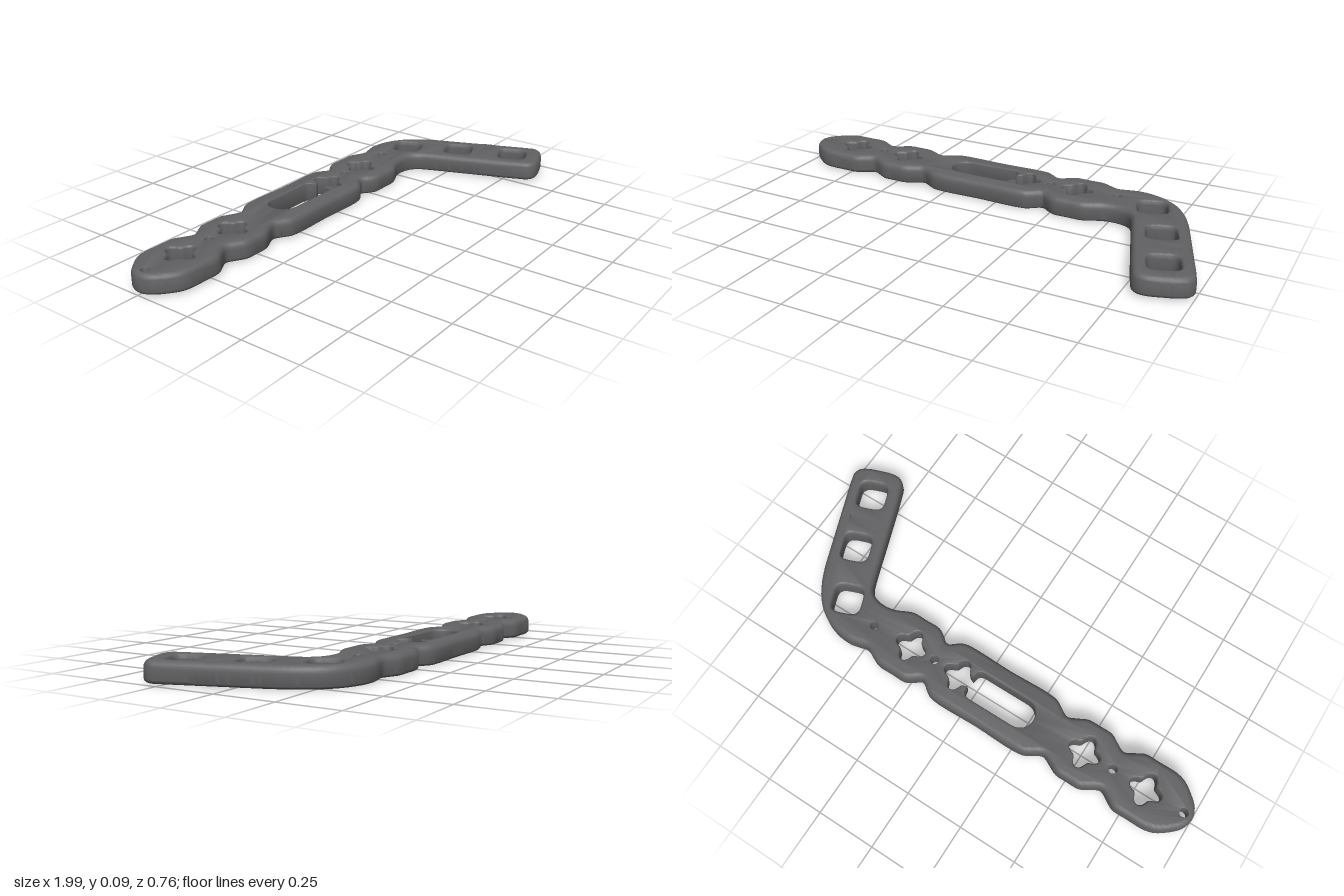
import * as THREE from 'three';
import { toCreasedNormals } from 'three/addons/utils/BufferGeometryUtils.js';

const V = (x, z) => new THREE.Vector2(x, z);
const BAR_Z = -0.248; // centre line of the straight bar
const BOTTOM = 0.002, TOP = 0.084;

// Closed loop from polar radius r(angle)
function polar(cx, cz, r, n, from = 0, to = Math.PI * 2, closed = true) {
  const pts = [];
  for (let i = 0; i < (closed ? n : n + 1); i++) {
    const a = from + (to - from) * i / n;
    pts.push(V(cx + r(a) * Math.cos(a), cz + r(a) * Math.sin(a)));
  }
  return pts;
}

const cloverRadius = a => 0.056 + 0.012 * Math.cos(4 * a);
const roundHole = (x, z) => polar(x, z, () => 0.018, 24);
const cloverHole = x => polar(x, BAR_Z, cloverRadius, 64);
const squareHole = (x, z) => polar(x, z, a => {
  const t = a + 0.36; // aligned with the angled arm
  return 0.061 / Math.pow(Math.cos(t) ** 4 + Math.sin(t) ** 4, 0.25);
}, 48);

// Long slot opening into a clover hole at its right end
function slotHole() {
  const open = 0.36;
  return [
    ...polar(-0.208, BAR_Z, () => 0.062, 20, Math.PI / 2, Math.PI * 1.5, false),
    V(0.0, BAR_Z - 0.062), V(0.016, BAR_Z - 0.058), V(0.026, BAR_Z - 0.048), V(0.029, BAR_Z - 0.035),
    ...polar(0.085, BAR_Z, cloverRadius, 56, -Math.PI + open, Math.PI - open, false),
    V(0.029, BAR_Z + 0.035), V(0.026, BAR_Z + 0.048), V(0.016, BAR_Z + 0.058), V(0.0, BAR_Z + 0.062),
  ];
}

// Scalloped edge of the bar as [x, half width]
const edge = [
  [-0.985, 0.045], [-0.94, 0.09], [-0.9, 0.117], [-0.86, 0.128], [-0.785, 0.129], [-0.715, 0.127],
  [-0.68, 0.108], [-0.64, 0.088], [-0.6, 0.108], [-0.565, 0.127], [-0.51, 0.129], [-0.455, 0.127],
  [-0.415, 0.108], [-0.375, 0.092], [-0.34, 0.11], [-0.3, 0.131], [-0.08, 0.132], [0.14, 0.131],
  [0.17, 0.115], [0.205, 0.092], [0.24, 0.115], [0.27, 0.131], [0.335, 0.132], [0.4, 0.131],
  [0.435, 0.117],
];

function outline() {
  const upper = edge.map(([x, w]) => V(x, BAR_Z - w));
  const lower = edge.map(([x, w]) => V(x, BAR_Z + w)).reverse();
  // Curved elbow and the angled arm
  const arm = [
    [0.475, -0.347], [0.515, -0.355], [0.56, -0.364], [0.63, -0.357], [0.7, -0.328], [0.76, -0.28],
    [0.806, -0.215], [0.838, -0.15], [0.861, -0.09], [0.925, 0.083], [0.988, 0.255], [0.996, 0.285],
    [0.985, 0.316], [0.955, 0.338], [0.9, 0.359], [0.845, 0.375], [0.81, 0.374], [0.785, 0.357],
    [0.766, 0.315], [0.692, 0.11], [0.623, -0.085], [0.608, -0.117], [0.58, -0.143], [0.53, -0.156],
    [0.475, -0.149],
  ].map(p => V(...p));
  const ctrl = [V(-0.999, BAR_Z), ...upper, ...arm, ...lower].map(p => new THREE.Vector3(p.x, p.y, 0));
  const curve = new THREE.CatmullRomCurve3(ctrl, true, 'centripetal');
  const pts = curve.getSpacedPoints(420).slice(0, -1);
  return pts.map(p => V(p.x, p.y));
}

// Moves a loop into the material by d
function inset(pts, d) {
  const n = pts.length;
  return pts.map((p, i) => {
    const t = pts[(i + 1) % n].clone().sub(pts[(i + n - 1) % n]).normalize();
    return V(p.x - t.y * d, p.y + t.x * d);
  });
}

// Slight lift towards both ends
const lift = p => 0.005 * (Math.max(0, -p.x) + Math.max(0, p.y + 0.1) / 0.48);

// Plate with its own edge rounding on every loop
function plateGeometry(loops) {
  const pos = [];
  const put = (p, y) => pos.push(p.x, y + lift(p), p.y);
  const caps = [[], []];
  loops.forEach(({ pts, round, height }, k) => {
    const loop = THREE.ShapeUtils.isClockWise(pts) === (k > 0) ? pts : pts.slice().reverse();
    const rings = [];
    const steps = 5;
    for (let s = 0; s <= steps; s++) { // lower edge
      const a = s / steps * Math.PI / 2;
      rings.push([inset(loop, round * 0.8 * (1 - Math.sin(a))), BOTTOM + height * 0.55 * (1 - Math.cos(a))]);
    }
    for (let s = 0; s <= steps; s++) { // upper edge
      const a = s / steps * Math.PI / 2;
      rings.push([inset(loop, round * (1 - Math.cos(a))), TOP - height * (1 - Math.sin(a))]);
    }
    for (let r = 0; r + 1 < rings.length; r++) {
      const [lo, y0] = rings[r], [hi, y1] = rings[r + 1];
      for (let i = 0; i < lo.length; i++) {
        const j = (i + 1) % lo.length;
        put(lo[i], y0); put(hi[j], y1); put(lo[j], y0);
        put(lo[i], y0); put(hi[i], y1); put(hi[j], y1);
      }
    }
    caps[0].push(rings[0][0]);
    caps[1].push(rings[rings.length - 1][0]);
  });
  caps.forEach((cap, top) => {
    const all = cap.flat();
    for (const [a, b, c] of THREE.ShapeUtils.triangulateShape(cap[0], cap.slice(1))) {
      for (const i of top ? [a, c, b] : [a, b, c]) put(all[i], top ? TOP : BOTTOM);
    }
  });
  const g = new THREE.BufferGeometry();
  g.setAttribute('position', new THREE.Float32BufferAttribute(pos, 3));
  return toCreasedNormals(g, 0.6);
}

export function createModel() {
  const model = new THREE.Group();
  model.name = 'angledPlate';
  const metal = new THREE.MeshStandardMaterial({ color: 0x626264 });
  metal.name = 'dark grey metal';

  const loops = [{ pts: outline(), round: 0.022, height: 0.028 }];
  const add = (pts, round, height) => loops.push({ pts, round, height });
  // Small pin holes
  [[-0.957, BAR_Z], [-0.64, BAR_Z], [0.205, BAR_Z], [0.5, -0.258], [0.895, 0.093]]
    .forEach(([x, z]) => add(roundHole(x, z), 0.001, 0.002));
  // Clover holes and slot
  [-0.788, -0.51, 0.323].forEach(x => add(cloverHole(x), 0.008, 0.014));
  add(slotHole(), 0.005, 0.012);
  // Rounded square holes in the arm
  [[0.665, -0.22], [0.775, -0.006], [0.86, 0.233]]
    .forEach(([x, z]) => add(squareHole(x, z), 0.012, 0.02));

  const plate = new THREE.Mesh(plateGeometry(loops), metal);
  plate.name = 'plate';
  model.add(plate);
  return model;
}
